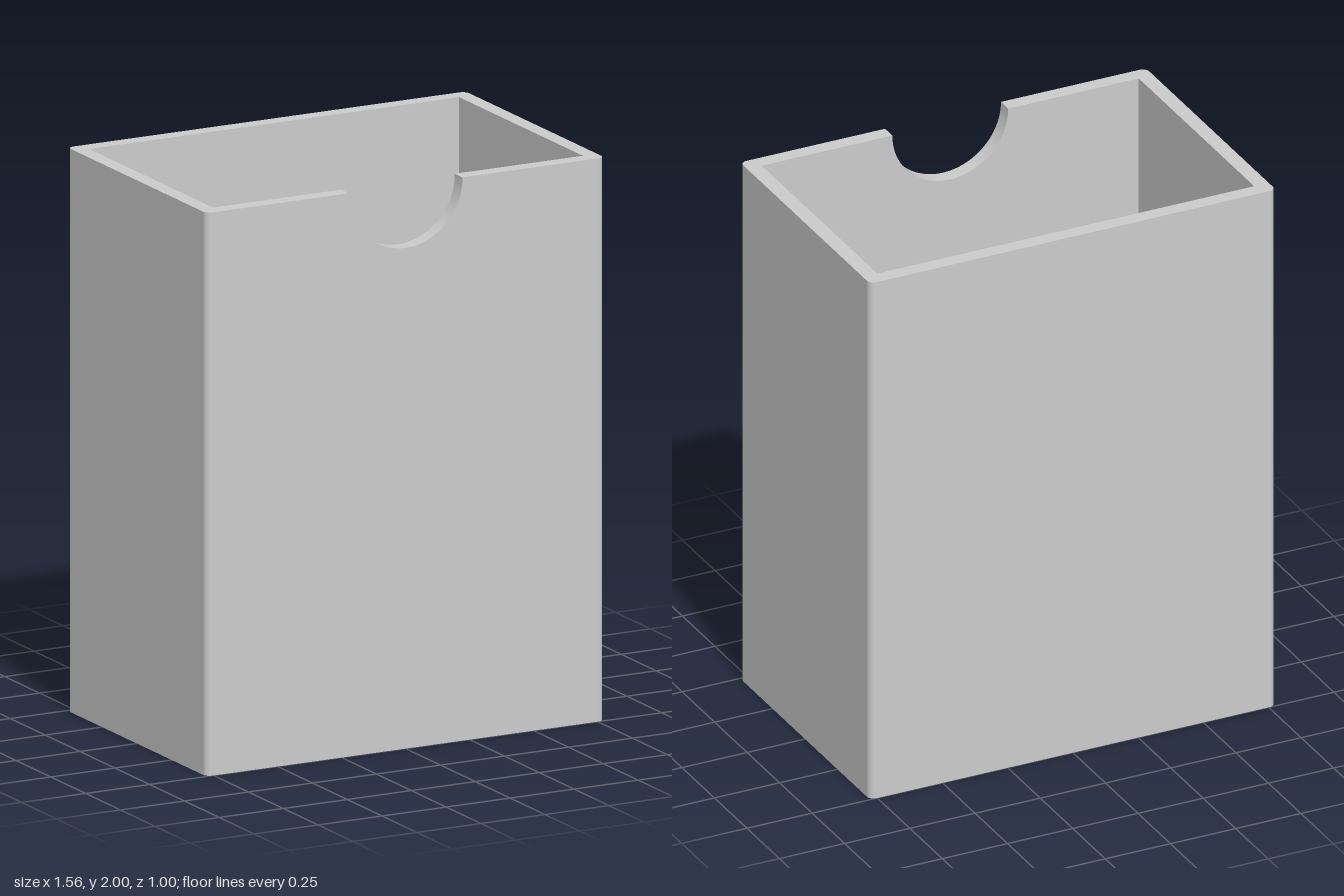
import * as THREE from 'three';
import { toCreasedNormals } from 'three/addons/utils/BufferGeometryUtils.js';

const W = 0.778, D = 0.5, H = 2;      // half width, half depth, height
const WALL = 0.0556, R = 0.025;       // wall thickness, outer corner radius
const FLOOR = 1.415;                  // height of the inner floor
const NOTCH = 0.222;                  // finger notch radius
const IW = W - WALL, ID = D - WALL;

// Outer plan outline; with a gap it runs round from one side of the notch to the other
function outline(gap) {
  const s = new THREE.Shape();
  s.moveTo(gap, -D);
  s.lineTo(W - R, -D);
  s.absarc(W - R, -D + R, R, -Math.PI / 2, 0, false);
  s.lineTo(W, D - R);
  s.absarc(W - R, D - R, R, 0, Math.PI / 2, false);
  s.lineTo(-W + R, D);
  s.absarc(-W + R, D - R, R, Math.PI / 2, Math.PI, false);
  s.lineTo(-W, -D + R);
  s.absarc(-W + R, -D + R, R, Math.PI, Math.PI * 1.5, false);
  s.lineTo(-gap, -D);
  return s;
}

// Extrude a plan shape upwards between two heights
function rise(shape, y0, y1) {
  const g = new THREE.ExtrudeGeometry(shape, { depth: y1 - y0, bevelEnabled: false, curveSegments: 10 });
  g.rotateX(-Math.PI / 2);
  g.translate(0, y0, 0);
  return g;
}

export function createModel() {
  const model = new THREE.Group();
  model.name = 'openBox';
  const grey = new THREE.MeshStandardMaterial({ color: 0xcccccc });
  grey.name = 'light grey';
  const add = (name, geometry) => {
    const mesh = new THREE.Mesh(geometry, grey);
    mesh.name = name;
    model.add(mesh);
  };

  // Solid lower body, its top is the inner floor
  add('lowerBody', rise(outline(0), 0, FLOOR));

  // Walls around the cavity, open at the notch
  const walls = outline(NOTCH);
  [[-NOTCH, -ID], [-IW, -ID], [-IW, ID], [IW, ID], [IW, -ID], [NOTCH, -ID]]
    .forEach(([x, y]) => walls.lineTo(x, y));
  walls.closePath();
  add('upperWalls', rise(walls, FLOOR, H));

  // Middle of the front wall with the half-round finger notch
  const front = new THREE.Shape();
  front.moveTo(-NOTCH, FLOOR);
  front.lineTo(NOTCH, FLOOR);
  front.lineTo(NOTCH, H);
  front.absarc(0, H, NOTCH, 0, -Math.PI, true);
  front.closePath();
  const notch = new THREE.ExtrudeGeometry(front, { depth: WALL, bevelEnabled: false, curveSegments: 48 });
  notch.translate(0, 0, ID);
  add('notchedFrontWall', toCreasedNormals(notch, 0.4));

  return model;
}
